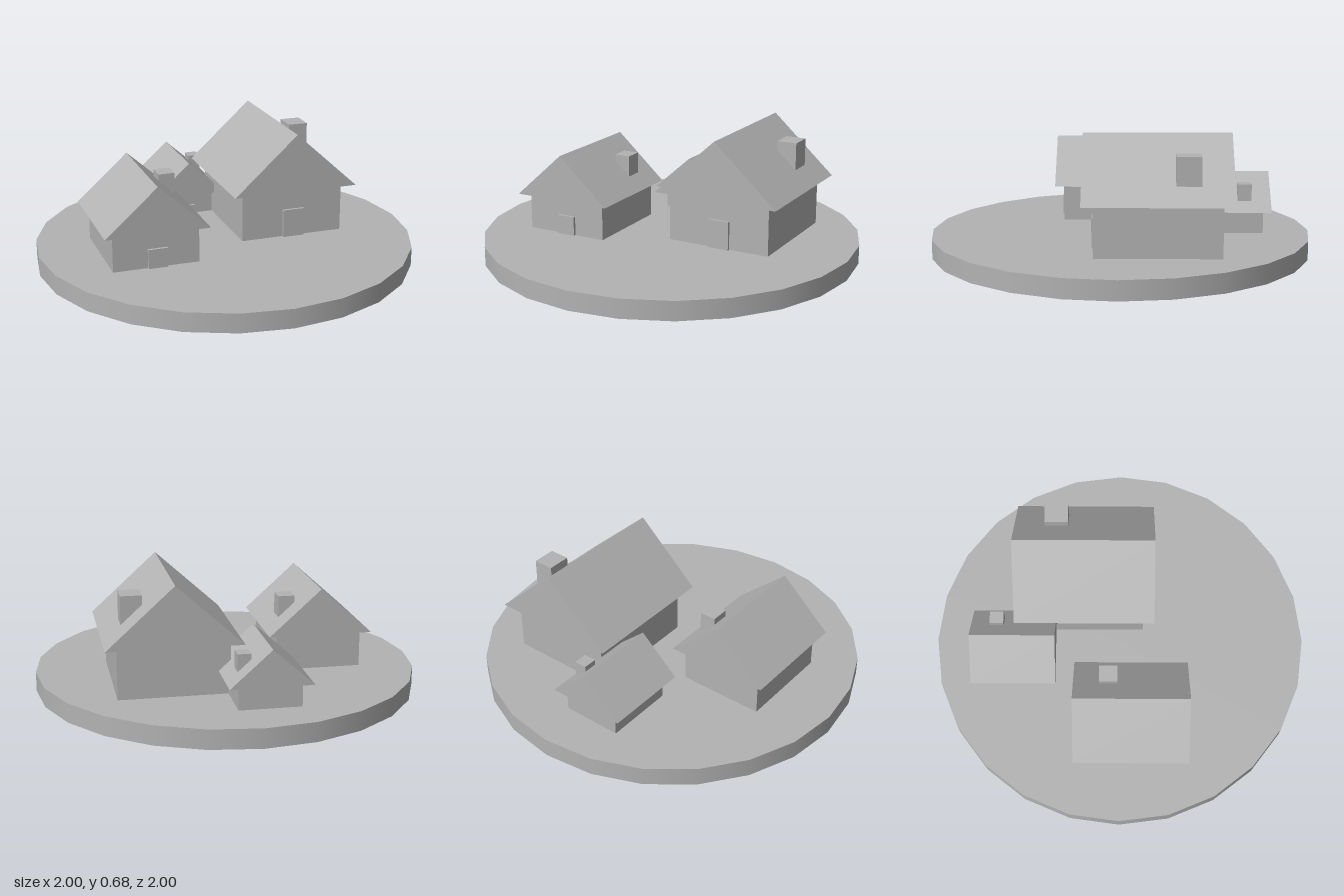
import * as THREE from 'three';

const GROUND = 0.1;

// Each house: centre, wall half sizes, roof half sizes, heights, door and chimney
const HOUSES = [
  { name: 'leftHouse', x: -0.465, z: 0.06, wall: [0.225, 0.253], roof: [0.272, 0.3], eaves: 0.294, ridge: 0.538,
    door: [-0.46, 0.1, 0.102], chimney: [-0.312, -0.058, 0.086, 0.095, 0.475] },
  { name: 'rightHouse', x: 0.342, z: -0.19, wall: [0.281, 0.315], roof: [0.342, 0.372], eaves: 0.364, ridge: 0.675,
    door: [0.347, 0.117, 0.151], chimney: [0.536, -0.338, 0.108, 0.124, 0.594] },
  { name: 'backHouse', x: -0.083, z: -0.568, wall: [0.157, 0.185], roof: [0.207, 0.225], eaves: 0.22, ridge: 0.405,
    door: [-0.082, 0.074, 0.05], chimney: [0.033, -0.655, 0.066, 0.073, 0.36] },
];

export function createModel() {
  const village = new THREE.Group();
  village.name = 'village';
  const stone = new THREE.MeshStandardMaterial({ color: 0xb3b3b3 });
  stone.name = 'plain grey';

  const add = (parent, name, geometry, x, y, z) => {
    const mesh = new THREE.Mesh(geometry, stone);
    mesh.name = name;
    mesh.position.set(x, y, z);
    parent.add(mesh);
  };

  // Box given by its footprint and its bottom and top heights
  const addBlock = (parent, name, x, z, width, depth, bottom, top) =>
    add(parent, name, new THREE.BoxGeometry(width, top - bottom, depth), x, (bottom + top) / 2, z);

  // Round base plate
  add(village, 'base', new THREE.CylinderGeometry(1, 1, GROUND, 24), 0, GROUND / 2, 0);

  for (const h of HOUSES) {
    const house = new THREE.Group();
    house.name = h.name;
    village.add(house);

    addBlock(house, 'walls', h.x, h.z, h.wall[0] * 2, h.wall[1] * 2, GROUND, h.eaves);

    // Solid gable roof, ridge running front to back
    const gable = new THREE.Shape([
      new THREE.Vector2(-h.roof[0], 0),
      new THREE.Vector2(h.roof[0], 0),
      new THREE.Vector2(0, h.ridge - h.eaves),
    ]);
    const roof = new THREE.ExtrudeGeometry(gable, { depth: h.roof[1] * 2, bevelEnabled: false });
    add(house, 'roof', roof, h.x, h.eaves, h.z - h.roof[1]);

    // Door slab standing slightly proud of the front wall
    const [doorX, doorWidth, doorHeight] = h.door;
    addBlock(house, 'door', doorX, h.z + h.wall[1], doorWidth, 0.03, GROUND, GROUND + doorHeight);

    // Chimney on the +x slope, sunk into the roof
    const [chimneyX, chimneyZ, width, depth, top] = h.chimney;
    addBlock(house, 'chimney', chimneyX, chimneyZ, width, depth, h.eaves + 0.02, top);
  }
  return village;
}
